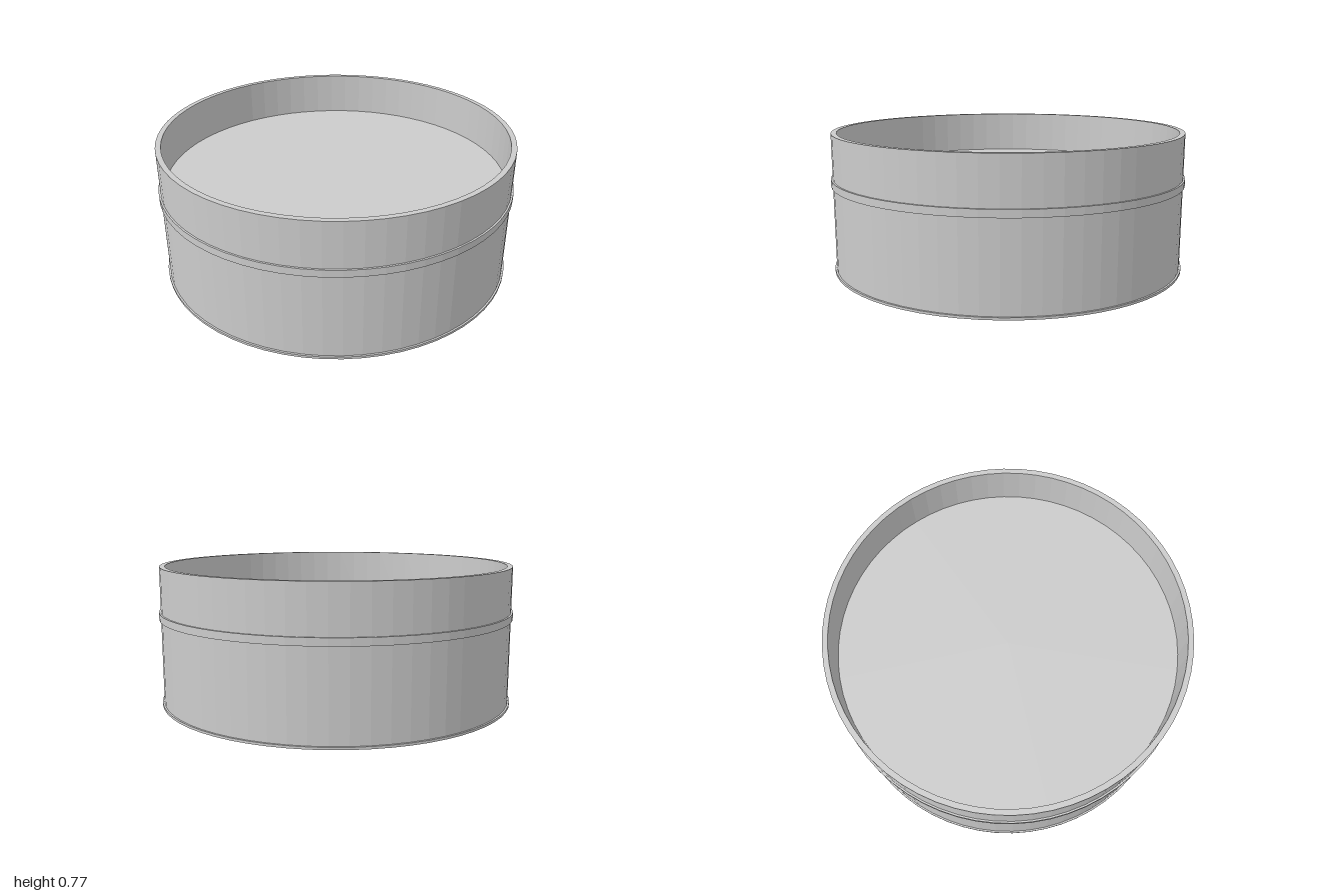
import * as THREE from 'three';

const SEGMENTS = 64;
const material = new THREE.MeshStandardMaterial({ color: 0xcccccc, flatShading: true });

// Turned part from [radius, height] pairs, listed bottom to top along the outside
function turned(name, profile) {
  const points = profile.map(([r, y]) => new THREE.Vector2(r, y));
  const mesh = new THREE.Mesh(new THREE.LatheGeometry(points, SEGMENTS), material);
  mesh.name = name;
  return mesh;
}

// Thin collar around the wall
function collar(name, y0, y1) {
  return turned(name, [[0.985, y0], [1, y0], [1, y1], [0.985, y1]]);
}

export function createModel() {
  const model = new THREE.Group();
  model.name = 'roundContainer';

  // Solid lower body with a raised rim around a recessed floor
  model.add(turned('body', [
    [0, 0], [0.99, 0], [0.99, 0.77], [0.96, 0.77], [0.96, 0.52], [0, 0.52],
  ]));

  // Band around the middle and flange at the foot
  model.add(collar('middleBand', 0.48, 0.52));
  model.add(collar('baseFlange', 0, 0.013));

  return model;
}
